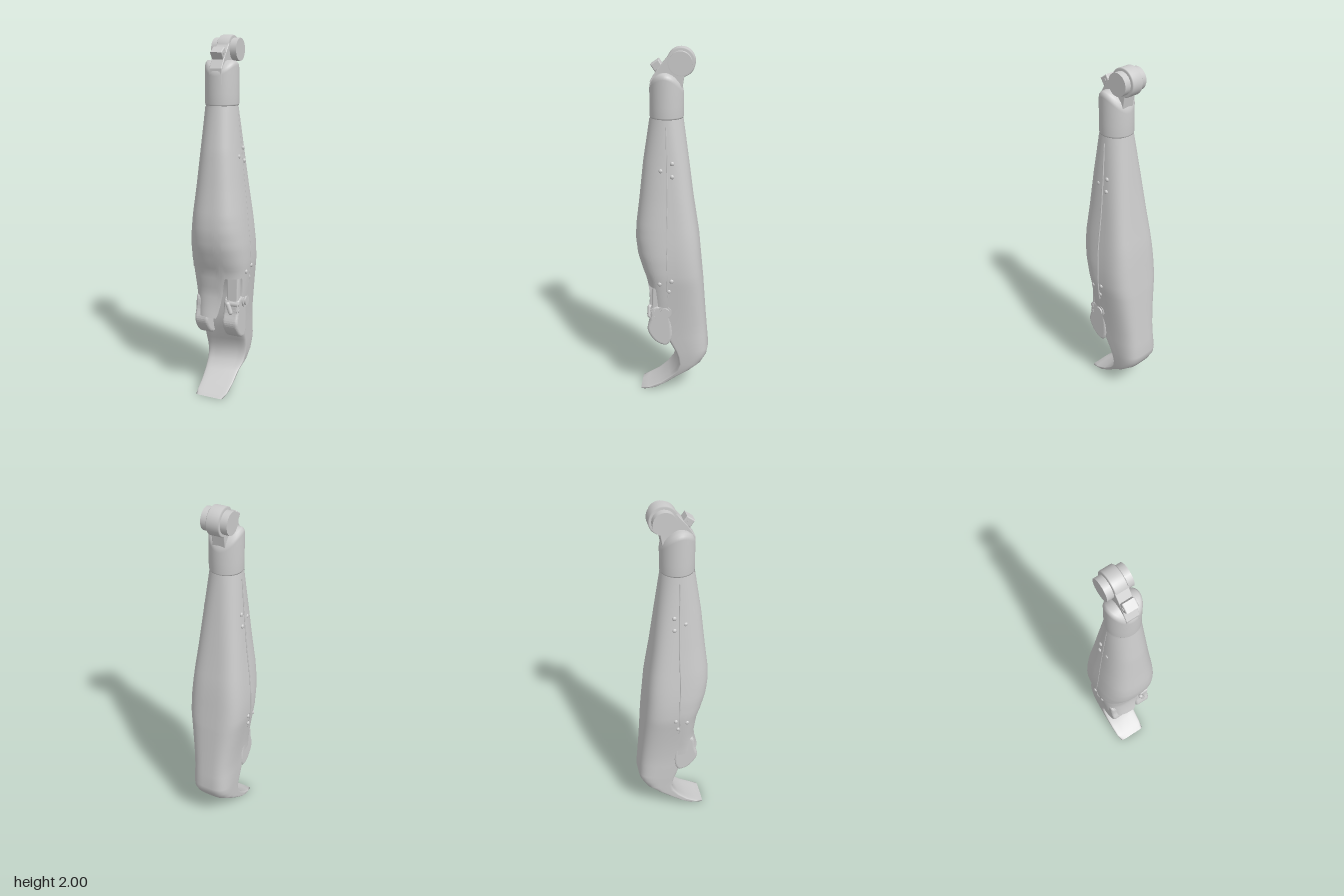
import * as THREE from 'three';

const mat = new THREE.MeshStandardMaterial({ color: 0xcccccc, side: THREE.DoubleSide });

// Sections: y, half width -x, half width +x, front z, back z, front power, back power, seam z, front shear
const BODY = [
  [1.64, .086, .086, .123, -.053, 2, 2, .035, 0],
  [1.4, .108, .108, .160, -.085, 2.3, 2.7, .028, 0],
  [1.2, .128, .128, .182, -.110, 2.5, 3.2, .025, 0],
  [1.05, .145, .145, .201, -.133, 2.6, 3.5, .028, 0],
  [.97, .153, .153, .205, -.145, 2.6, 3.5, .028, 0],
  [.88, .161, .161, .195, -.153, 2.6, 3.5, .024, 0],
  [.78, .163, .163, .165, -.163, 2.6, 3.5, .022, 0],
  [.73, .158, .159, .145, -.168, 2.6, 3.5, .025, 0],
];
const LOWER = [
  [.70, .153, .155, .085, -.171, 4, 3.5, .025, 0],
  [.58, .135, .142, .075, -.180, 4, 3.5, .02, 0],
  [.46, .122, .130, .07, -.190, 4, 3.5, .02, 0],
  [.38, .120, .125, .06, -.197, 4, 3.5, 0, .015],
  [.29, .118, .120, .025, -.205, 6, 3.5, -.05, .025],
  [.25, .116, .117, .008, -.198, 7, 3.5, -.06, .025],
  [.20, .114, .112, -.005, -.168, 8, 3.5, -.07, .022],
  [.15, .112, .105, .008, -.105, 8, 3.5, -.05, .022],
  [.10, .110, .085, .042, -.035, 8, 3.5, .0, .02],
  [.05, .108, .080, .095, .035, 8, 3.5, .06, .012],
  [.015, .105, .075, .155, .095, 8, 3.5, .12, .004],
  [0, .098, .068, .19, .15, 6, 4, .17, 0],
];
const SHELL = [
  ...BODY,
  [.60, .141, .147, .127, -.18, 2.8, 3.5, .02, 0],
  [.52, .131, .137, .138, -.18, 2.8, 3.5, .02, 0],
  [.44, .126, .132, .158, -.19, 2.8, 3.5, .02, 0],
];

function sectionAt(table, y) {
  let i = 0;
  while (i < table.length - 2 && table[i + 1][0] > y) i++;
  const a = table[i], b = table[i + 1], t = (y - a[0]) / (b[0] - a[0]);
  return a.map((v, k) => v + (b[k] - v) * t);
}

// Point of a section; th runs from the front (+z) towards +x
function sectionPoint([y, wl, wr, zf, zb, nf, nb, zc, shear], th, grow = 0) {
  const s = Math.sin(th), c = Math.cos(th), n = c > 0 ? nf : nb;
  const sx = Math.sign(s) * Math.abs(s) ** (2 / n);
  const cz = Math.abs(c) ** (2 / n);
  const x = sx * ((s < 0 ? wl : wr) + grow);
  const z = c > 0 ? zc + (zf + grow - zc - shear * (sx + 1) * .8) * cz : zc + (zb - grow - zc) * cz;
  return [x, y, z];
}

// Skin a grid of points, rows from top to bottom
function skin(rows, closed, capEnd = false) {
  const n = rows[0].length, pos = rows.flat(2), idx = [];
  for (let i = 0; i < rows.length - 1; i++)
    for (let j = 0; j < (closed ? n : n - 1); j++) {
      const k = (j + 1) % n, a = i * n + j, b = i * n + k;
      idx.push(a, a + n, b, b, a + n, b + n);
    }
  if (capEnd) {
    const last = (rows.length - 1) * n, m = rows.length * n;
    const mid = [0, 1, 2].map(k => rows.at(-1).reduce((t, p) => t + p[k], 0) / n);
    pos.push(...mid);
    for (let j = 0; j < n; j++) idx.push(last + j, m, last + (j + 1) % n);
  }
  const g = new THREE.BufferGeometry();
  g.setAttribute('position', new THREE.Float32BufferAttribute(pos, 3));
  g.setIndex(idx);
  g.computeVertexNormals();
  return g;
}

// Extrude a [z, y] outline between two x positions
function sidePlate(pts, x0, x1, bevel, curved) {
  const v = pts.map(([z, y]) => new THREE.Vector2(-z, y));
  const outline = curved
    ? new THREE.CatmullRomCurve3(v.map(p => new THREE.Vector3(p.x, p.y, 0)), true).getPoints(40).slice(0, -1)
    : v;
  const g = new THREE.ExtrudeGeometry(new THREE.Shape(outline), {
    depth: x1 - x0 - 2 * bevel, bevelEnabled: bevel > 0, bevelThickness: bevel,
    bevelSize: bevel, bevelOffset: -bevel, bevelSegments: 4,
  });
  g.translate(0, 0, x0 + bevel).rotateY(Math.PI / 2);
  return g;
}

const smooth = (a, b, t) => THREE.MathUtils.smoothstep(t, a, b);

export function createModel() {
  const model = new THREE.Group();
  const add = (name, geo, x = 0, y = 0, z = 0) => {
    const m = new THREE.Mesh(geo, mat);
    m.name = name;
    m.position.set(x, y, z);
    model.add(m);
    return m;
  };
  const range = (n, f) => Array.from({ length: n }, (_, i) => f(i));

  // Core with the curved scoop at the bottom
  const core = [...BODY, ...LOWER];
  add('bodyAndScoop', skin(core.map(s => range(64, j => sectionPoint(s, j / 64 * Math.PI * 2))), true, true));

  // Front shell, with a stepped lower lip and a slot on the left
  const lip = th => th < 0 ? .465 : .465 + .235 * smooth(.03, .32, th) - .115 * smooth(1.1, 1.18, th);
  const shell = range(41, i => range(97, j => {
    const th = (j / 96 - .5) * Math.PI;
    const y = 1.63 + (lip(th) - 1.63) * i / 40;
    return sectionPoint(sectionAt(SHELL, y), th, .003);
  }));
  add('frontShell', skin(shell, false));

  // Rivets and seams on both sides
  const rivets = [[1.37, .06], [1.41, 0], [1.34, 0], [.735, .065], [.755, 0], [.69, .015]];
  for (const s of [-1, 1]) {
    for (const [y, z] of rivets) {
      const x = sectionAt(core, y)[2] - (z > .05 ? .002 : 0);
      add('rivet', new THREE.SphereGeometry(.012, 14, 10), s * x, y, z).scale.x = .7;
    }
    const path = range(16, i => {
      const q = sectionAt(SHELL, 1.6 - i * .063);
      return new THREE.Vector3(s * (q[2] + .001), q[0], q[7]);
    });
    add('sideSeam', new THREE.TubeGeometry(new THREE.CatmullRomCurve3(path), 60, .004, 6));
  }

  // Side pads under the lip
  const pad = [[.03, .58], [.11, .575], [.125, .5], [.14, .44], [.12, .39], [.08, .35], [.03, .338], [.003, .38], [.005, .5]];
  add('leftPad', sidePlate(pad, .045, .136, .015, true));
  add('rightPad', sidePlate(pad, -.126, -.045, .015, true));
  add('slotStrip', sidePlate([[.07, .56], [.115, .56], [.11, .71], [.07, .71]], .06, .13, .01, false));

  // Knobs and fasteners on the left pad
  const knob = (name, r, w, x, y, z) => add(name, new THREE.CylinderGeometry(r, r, w, 24).rotateZ(Math.PI / 2), x, y, z);
  knob('largeKnob', .036, .03, .13, .555, .037);
  knob('largeKnobCap', .026, .012, .148, .555, .037);
  for (const y of [.55, .512]) {
    knob('smallKnob', .019, .05, .105, y, .105);
    knob('smallKnobCap', .011, .008, .134, y, .105);
  }
  const lever = add('lever', new THREE.CapsuleGeometry(.013, .05, 6, 12), .085, .53, .13);
  lever.rotation.z = .35;

  // Neck collar with a sloping domed top
  const ring = (r, f) => range(48, j => {
    const a = j / 48 * Math.PI * 2, x = r * Math.sin(a), z = .035 + r * Math.cos(a);
    return [x, f(z), z];
  });
  const top = z => 1.868 - 8 * (z - .045) ** 2;
  const collar = [ring(.02, z => top(z) + .004), ring(.055, z => top(z) + .004), ring(.078, z => top(z) + .002),
    ring(.088, z => top(z) - .008), ring(.091, z => top(z) - .025), ring(.091, () => 1.7),
    ring(.091, () => 1.645), ring(.088, () => 1.637), ring(.07, () => 1.637)];
  add('neckCollar', skin(collar, true));

  // Hinge head: narrow disc, wide barrel and the web joining them to the neck
  const disc = new THREE.LatheGeometry([[0, -.036], [.07, -.036], [.075, -.031], [.075, .031], [.07, .036], [0, .036]]
    .map(p => new THREE.Vector2(...p)), 48).rotateZ(Math.PI / 2);
  add('hingeDisc', disc, 0, 1.925, -.04);
  knob('hingeBarrel', .06, .145, 0, 1.925, -.04);
  add('hingeWeb', sidePlate([[.12, 1.75], [.12, 1.83], [.085, 1.885], [.01, 1.975], [-.04, 1.95],
    [-.06, 1.87], [-.04, 1.75]], -.036, .036, .004, false));

  // Tilted latch on the front of the head
  const latch = new THREE.Group();
  latch.name = 'latch';
  latch.position.set(0, 1.908, .085);
  latch.rotation.x = .6;
  const block = new THREE.Mesh(sidePlate([[-.025, -.022], [.025, -.022], [.025, .022], [-.025, .022]], -.034, .034, .006, false), mat);
  block.name = 'latchBlock';
  const pin = new THREE.Mesh(new THREE.CylinderGeometry(.009, .009, .074, 16).rotateZ(Math.PI / 2), mat);
  pin.name = 'latchPin';
  latch.add(block, pin);
  model.add(latch);

  return model;
}
